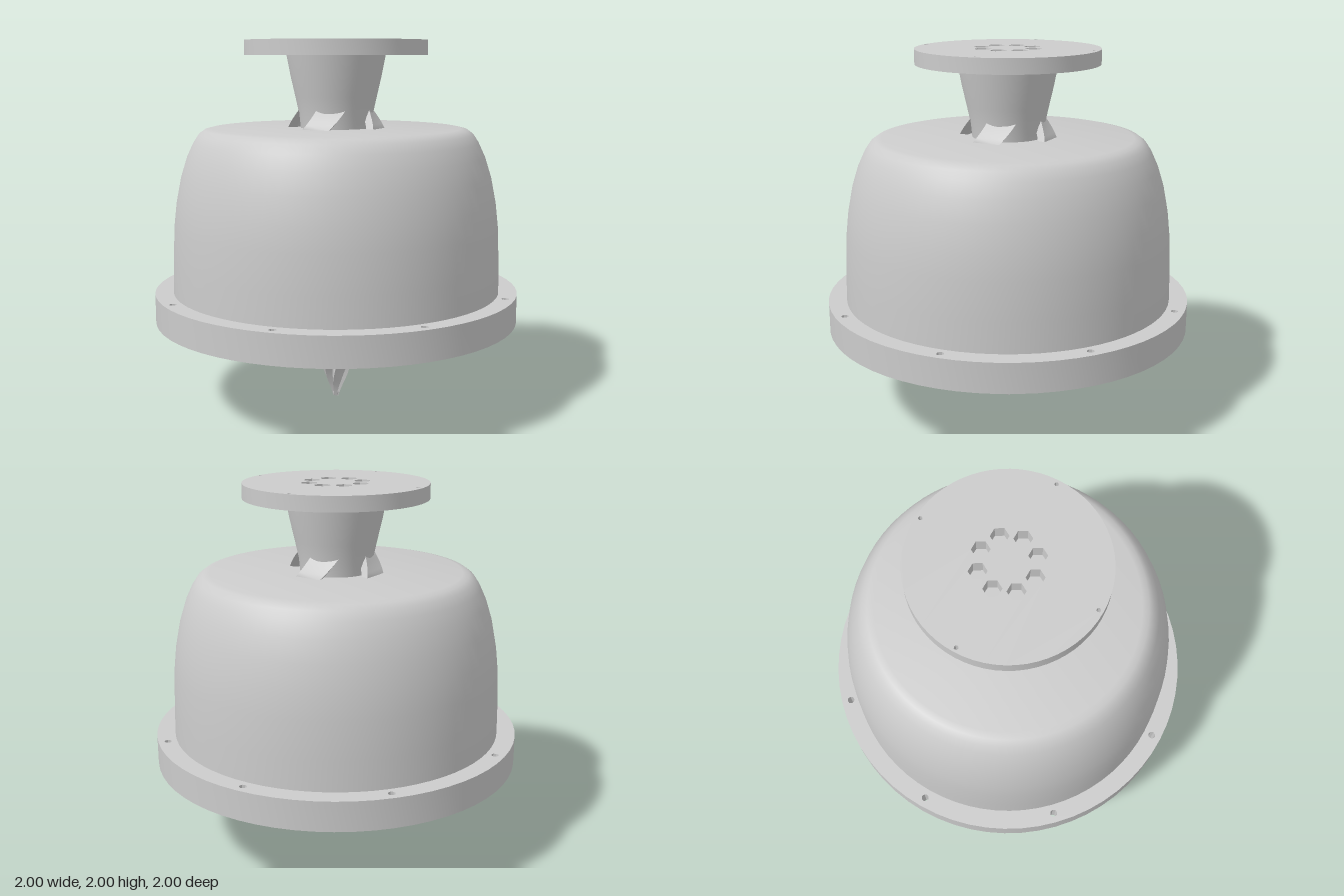
import * as THREE from 'three';
import { toCreasedNormals } from 'three/addons/utils/BufferGeometryUtils.js';

const material = new THREE.MeshStandardMaterial({ color: 0xcccccc });

function addPart(group, name, geometry, crease = 0.6) {
  const mesh = new THREE.Mesh(toCreasedNormals(geometry, crease), material);
  mesh.name = name;
  group.add(mesh);
  return mesh;
}

// Closed circle path with a chosen number of sides
function circlePoints(cx, cy, r, sides) {
  return Array.from({ length: sides }, (_, i) => {
    const a = (i / sides) * Math.PI * 2;
    return new THREE.Vector2(cx + r * Math.cos(a), cy + r * Math.sin(a));
  });
}

// Flat disc lying between y and y + height; each hole set is a ring of holes
function disc(radius, y, height, holeSets) {
  const shape = new THREE.Shape(circlePoints(0, 0, radius, 64));
  for (const { count, at, r, sides } of holeSets) {
    for (let i = 0; i < count; i++) {
      const a = (i / count) * Math.PI * 2;
      shape.holes.push(new THREE.Path(circlePoints(at * Math.cos(a), at * Math.sin(a), r, sides)));
    }
  }
  const geometry = new THREE.ExtrudeGeometry(shape, { depth: height, bevelEnabled: false });
  return geometry.rotateX(-Math.PI / 2).translate(0, y, 0);
}

function lathe(points) {
  return new THREE.LatheGeometry(points.map(([x, y]) => new THREE.Vector2(x, y)), 72);
}

// Linear interpolation through [y, value] pairs
function sample(table, y) {
  for (let i = 1; i < table.length; i++) {
    const [y0, v0] = table[i - 1];
    const [y1, v1] = table[i];
    if (y <= y1) return v0 + ((v1 - v0) * (y - y0)) / (y1 - y0);
  }
  return table[table.length - 1][1];
}

// Twisted rectangular blade rising from the common tip into the neck
const bladeRadius = [[0, 0.014], [0.05, 0.03], [0.12, 0.058], [0.25, 0.098], [0.4, 0.133],
  [0.5, 0.15], [0.7, 0.185], [0.95, 0.22], [1.3, 0.25], [1.53, 0.255], [1.63, 0.19]];
const bladeHalfWidth = [[0, 0.006], [0.1, 0.022], [0.3, 0.043], [0.5, 0.058], [0.9, 0.07], [1.63, 0.078]];

function blade(start) {
  const steps = 64;
  const top = 1.63;
  const positions = [];
  const index = [];
  for (let i = 0; i <= steps; i++) {
    const y = (i / steps) * top;
    const a = start + ((y - 1.57) / 1.35) * Math.PI * 1.25;
    const outer = sample(bladeRadius, y);
    const inner = outer - Math.min(0.045, outer * 0.6);
    const w = sample(bladeHalfWidth, y);
    for (const [r, t] of [[outer, -w], [outer, w], [inner, w * 0.85], [inner, -w * 0.85]]) {
      positions.push(r * Math.sin(a) + t * Math.cos(a), y, r * Math.cos(a) - t * Math.sin(a));
    }
    if (i === steps) continue;
    for (let j = 0; j < 4; j++) {
      const p = i * 4 + j;
      const q = i * 4 + ((j + 1) % 4);
      index.push(p, q, p + 4, q, q + 4, p + 4);
    }
  }
  index.push(0, 2, 1, 0, 3, 2);
  const n = steps * 4;
  index.push(n, n + 1, n + 2, n, n + 2, n + 3);
  const geometry = new THREE.BufferGeometry();
  geometry.setAttribute('position', new THREE.Float32BufferAttribute(positions, 3));
  geometry.setIndex(index);
  return geometry;
}

export function createModel() {
  const model = new THREE.Group();
  model.name = 'bellHousing';

  // Wide mounting ring with eight bolt holes
  addPart(model, 'baseRing', disc(1, 0.48, 0.16, [
    { count: 1, at: 0, r: 0.785, sides: 64 },
    { count: 8, at: 0.948, r: 0.02, sides: 8 },
  ]));

  // Hollow bell: outer skin up to the axis, then the inner skin back down
  addPart(model, 'bellShell', lathe([
    [0.9, 0.63], [0.897, 0.8], [0.888, 1], [0.873, 1.13], [0.845, 1.27], [0.81, 1.38],
    [0.775, 1.455], [0.745, 1.5], [0.715, 1.522], [0.68, 1.53], [0, 1.53],
    [0, 1.48], [0.66, 1.48], [0.71, 1.46], [0.76, 1.38], [0.8, 1.27], [0.83, 1.13],
    [0.845, 1], [0.852, 0.8], [0.855, 0.63], [0.9, 0.63],
  ]));

  // Tapered neck
  addPart(model, 'neck', lathe([
    [0.19, 1.5], [0.2, 1.6], [0.222, 1.7], [0.247, 1.81], [0.268, 1.92], [0, 1.92],
  ]));

  // Top flange with a circle of six-sided ports and four small bolt holes
  addPart(model, 'topFlange', disc(0.495, 1.92, 0.08, [
    { count: 8, at: 0.145, r: 0.046, sides: 6 },
    { count: 4, at: 0.472, r: 0.011, sides: 8 },
  ]));

  // Four twisted blades meeting at the lower tip
  const blades = new THREE.Group();
  blades.name = 'twistedBlades';
  for (let i = 0; i < 4; i++) addPart(blades, `blade${i + 1}`, blade((i * Math.PI) / 2), 0.7);
  const tip = addPart(blades, 'bladeTip', new THREE.SphereGeometry(0.018, 12, 8));
  tip.position.y = 0.018;
  model.add(blades);

  return model;
}
